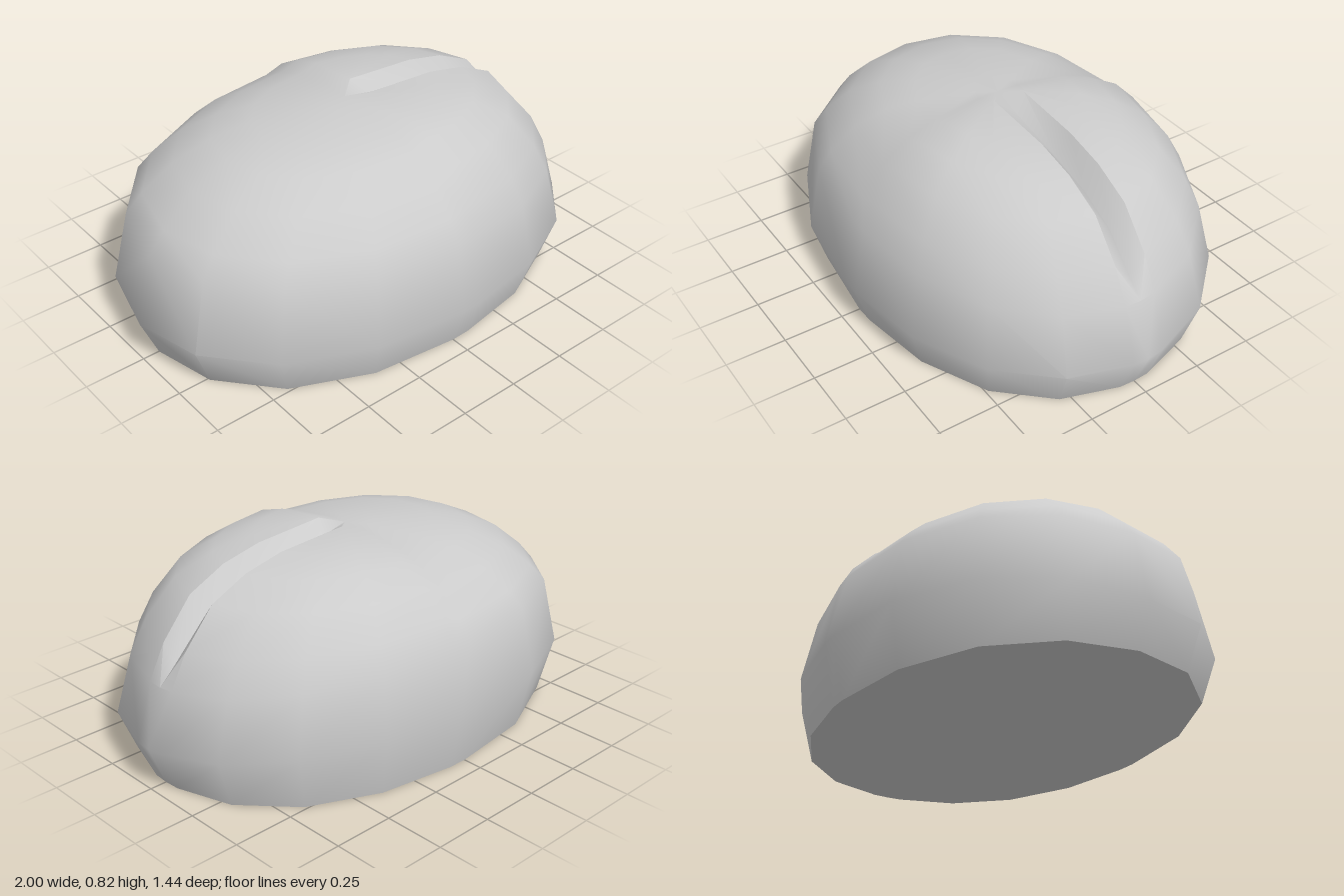
import * as THREE from 'three';
import { toCreasedNormals } from 'three/addons/utils/BufferGeometryUtils.js';

const HALF_WIDTH = 0.72, GROOVE = 0.065, STEP_X = 0.08;

// Rings from the crown outwards: radius, height, raise of the front panels, groove depth,
// drop towards the nose, lift on the -z side
const RINGS = [
  [0, 0.80, 0, 0, 0, 0],
  [0.12, 0.80, 0.02, 0.05, 0, 0],
  [0.4, 0.775, 0.025, 0.085, 0, 0],
  [0.57, 0.735, 0.028, 0.09, 0, 0],
  [0.73, 0.66, 0.028, 0.09, 0, 0.01],
  [0.86, 0.545, 0.02, 0.07, 0.03, 0.04],
  [0.93, 0.46, 0, 0, 0.06, 0.06],
  [1, 0.17, 0, 0, 0, 0.08],
  [0.93, 0, 0, 0, 0, 0]
];

// Angles over one half: groove centre, groove rim, front panel, step, then the rear
function halfAngles(r) {
  const rim = Math.asin(Math.min(1, GROOVE / (HALF_WIDTH * r)));
  const step = Math.max(rim + 0.1, Math.acos(Math.min(1, STEP_X / r)));
  const list = [0];
  for (let k = 0; k <= 4; k++) list.push(rim + (step - rim) * k / 4);
  for (let k = 4; k <= 8; k++) list.push(k * Math.PI / 8);
  return list;
}

function ringPoints([r, y, raise, depth, drop, lift]) {
  const half = halfAngles(Math.max(r, 0.12));
  const last = half.length - 1;
  const points = [];
  for (let i = 0; i < 2 * last; i++) {
    const k = i <= last ? i : 2 * last - i;
    const a = half[k];
    const side = i <= last ? 1 : -1;
    const bulge = r * (1 + 0.025 * Math.sin(2 * a) ** 2);
    let h = y - drop * Math.max(0, Math.cos(a));
    if (k <= 5) h += raise;
    if (k === 0) h -= depth;
    if (side < 0) h += lift * Math.sin(a);
    points.push([
      r > 0.99 && (k === 0 || k === last) ? Math.sign(Math.cos(a)) : bulge * Math.cos(a),
      h,
      side * bulge * HALF_WIDTH * Math.sin(a)
    ]);
  }
  return points;
}

function geometryFrom(triangles) {
  const g = new THREE.BufferGeometry();
  g.setAttribute('position', new THREE.Float32BufferAttribute(triangles.flat(2), 3));
  return toCreasedNormals(g, 0.76);
}

export function createModel() {
  const group = new THREE.Group();
  const material = new THREE.MeshStandardMaterial({ color: 0xcccccc });
  const rings = RINGS.map(ringPoints);
  const n = rings[0].length;

  // Domed shell with two raised front panels and a V groove between them
  const shell = [];
  for (let j = 0; j < rings.length - 1; j++) {
    for (let i = 0; i < n; i++) {
      const m = (i + 1) % n;
      const a = rings[j][i], b = rings[j + 1][i], c = rings[j + 1][m], d = rings[j][m];
      if (j === 0) shell.push([a, c, b]);
      else if (i < n / 2) shell.push([a, d, b], [d, c, b]);
      else shell.push([a, d, c], [a, c, b]);
    }
  }
  const body = new THREE.Mesh(geometryFrom(shell), material);
  body.name = 'body';

  // Flat underside
  const rim = rings[rings.length - 1];
  const floor = rim.map((p, i) => [[0, 0, 0], p, rim[(i + 1) % n]]);
  const base = new THREE.Mesh(geometryFrom(floor), material);
  base.name = 'base';

  group.add(body, base);
  return group;
}
